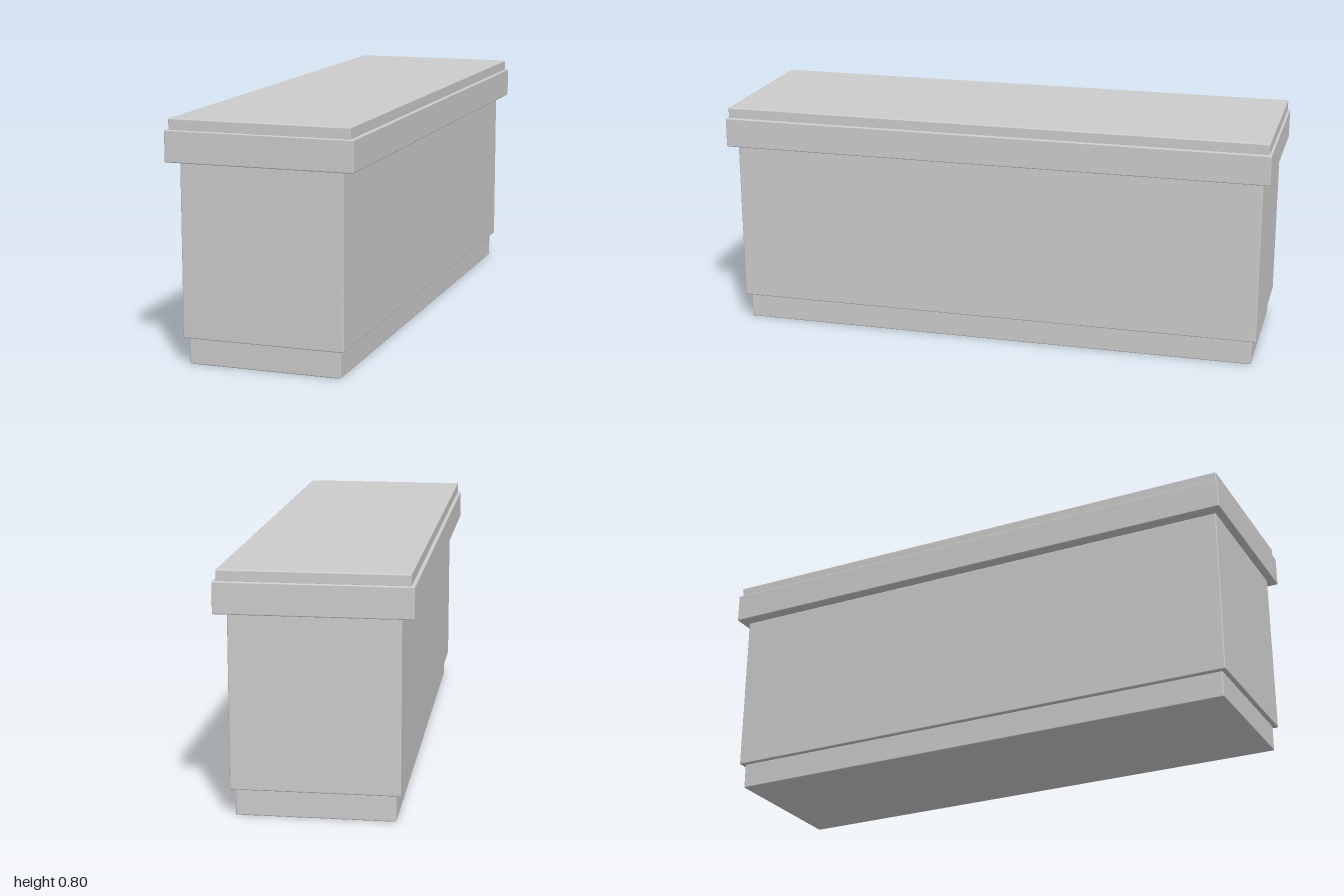
import * as THREE from 'three';
import { RoundedBoxGeometry } from 'three/addons/geometries/RoundedBoxGeometry.js';

export function createModel() {
  const model = new THREE.Group();
  model.name = 'chest';
  const material = new THREE.MeshStandardMaterial({ color: 0xcccccc });

  // One slab of the stack, from height y0 to y1, with finely eased edges
  function addSlab(name, length, depth, y0, y1) {
    const geometry = new RoundedBoxGeometry(length, y1 - y0, depth, 2, 0.004);
    const mesh = new THREE.Mesh(geometry, material);
    mesh.name = name;
    mesh.position.y = (y0 + y1) / 2;
    model.add(mesh);
  }

  addSlab('plinth', 1.825, 0.51, 0, 0.09);
  addSlab('body', 1.855, 0.541, 0.088, 0.658);
  addSlab('lidRim', 1.907, 0.623, 0.657, 0.76);
  addSlab('lidTop', 1.892, 0.6, 0.757, 0.796);

  // The whole chest stands turned on the ground
  model.rotation.y = 0.3955;
  const root = new THREE.Group();
  root.add(model);
  return root;
}
